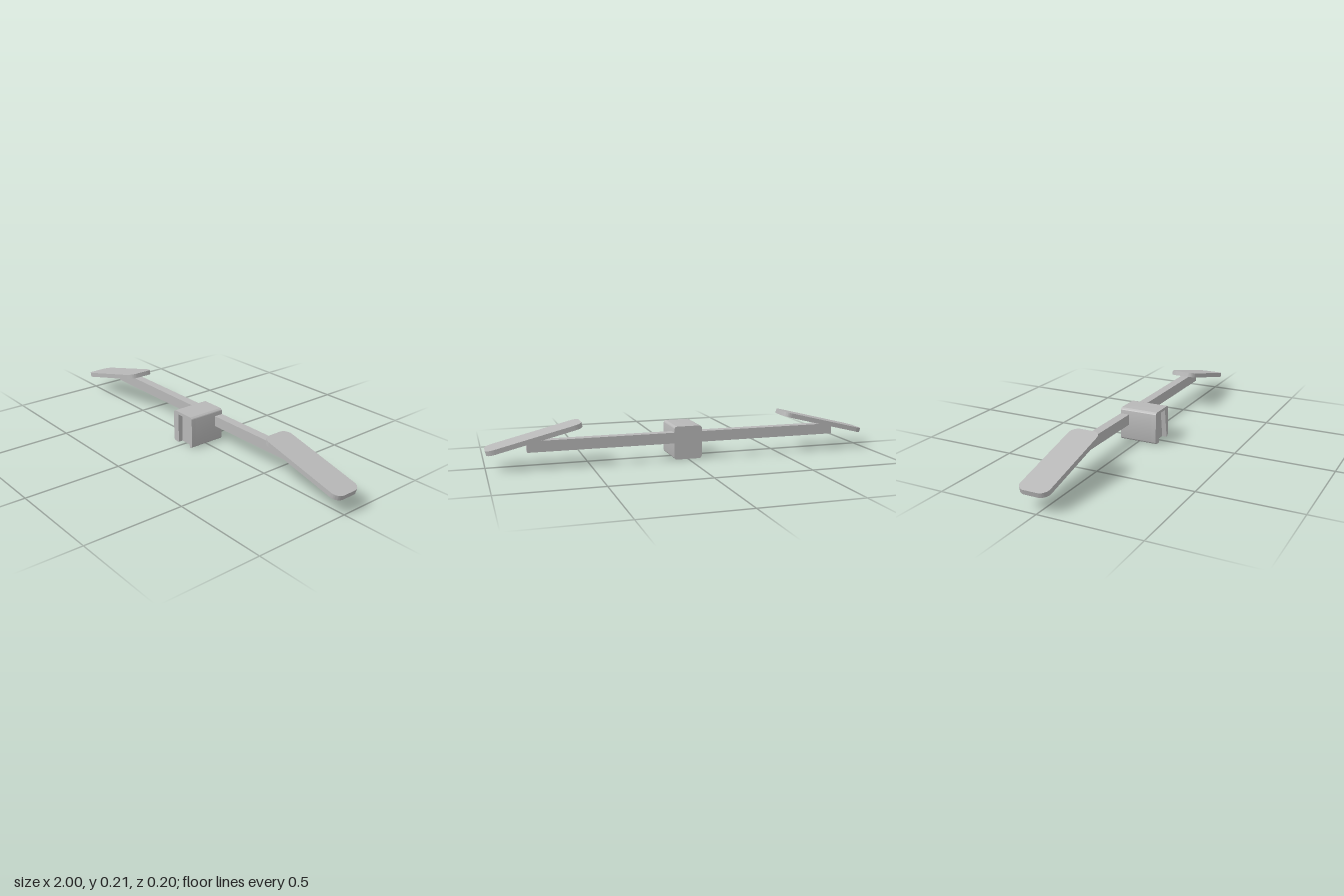
import * as THREE from 'three';
import { toCreasedNormals } from 'three/addons/utils/BufferGeometryUtils.js';

const grey = new THREE.MeshStandardMaterial({ color: 0xb8b8b8 });
grey.name = 'grey';

// Rectangle with rounded corners, centred on (0, cy)
function roundedRect(w, h, r, cy = 0) {
  const s = new THREE.Shape();
  const x = w / 2, y = h / 2;
  s.absarc(x - r, cy - y + r, r, -Math.PI / 2, 0);
  s.absarc(x - r, cy + y - r, r, 0, Math.PI / 2);
  s.absarc(-x + r, cy + y - r, r, Math.PI / 2, Math.PI);
  s.absarc(-x + r, cy - y + r, r, Math.PI, Math.PI * 1.5);
  s.closePath();
  return s;
}

// Block outline with a slot cut up from its bottom edge
function slottedOutline(w, h, r, slotW, slotH) {
  const s = new THREE.Shape();
  const x = w / 2, k = slotW / 2;
  s.moveTo(k, 0);
  s.absarc(x - r, r, r, -Math.PI / 2, 0);
  s.absarc(x - r, h - r, r, 0, Math.PI / 2);
  s.absarc(-x + r, h - r, r, Math.PI / 2, Math.PI);
  s.absarc(-x + r, r, r, Math.PI, Math.PI * 1.5);
  s.lineTo(-k, 0);
  s.lineTo(-k, slotH);
  s.lineTo(k, slotH);
  s.closePath();
  return s;
}

function extrude(shape, depth) {
  const g = new THREE.ExtrudeGeometry(shape, { depth, bevelEnabled: false, curveSegments: 8 });
  return toCreasedNormals(g, 0.6);
}

function addMesh(parent, name, geometry) {
  const mesh = new THREE.Mesh(geometry, grey);
  mesh.name = name;
  parent.add(mesh);
  return mesh;
}

export function createModel() {
  const model = new THREE.Group();
  model.name = 'paddleBar';

  // Central block: solid rear, shallow slot in the front
  const w = 0.146, h = 0.17, r = 0.015, slotDepth = 0.025;
  const block = new THREE.Group();
  block.name = 'centreBlock';
  model.add(block);
  addMesh(block, 'blockRear', extrude(roundedRect(w, h, r, h / 2), 0.2 - slotDepth)).position.z = -0.1;
  addMesh(block, 'blockSlottedFront', extrude(slottedOutline(w, h, r, 0.07, 0.155), slotDepth)).position.z = 0.1 - slotDepth;

  for (const side of [1, -1]) {
    const label = side > 0 ? 'left' : 'right';

    // Arm, flush with the back of the block
    const start = w / 2 - 0.005, end = 0.805;
    const arm = addMesh(model, label + 'Arm', new THREE.BoxGeometry(end - start, 0.055, 0.047));
    arm.position.set(side * (start + end) / 2, 0.1125, -0.0765);

    // Tilted paddle with rounded corners, sloping down outwards
    const geometry = extrude(roundedRect(0.478, 0.15, 0.042), 0.024);
    geometry.translate(0, 0, -0.012).rotateX(-Math.PI / 2);
    const paddle = addMesh(model, label + 'Paddle', geometry);
    paddle.position.set(side * 0.765, 0.145, -0.025);
    paddle.rotation.z = -side * THREE.MathUtils.degToRad(14);
  }
  return model;
}
